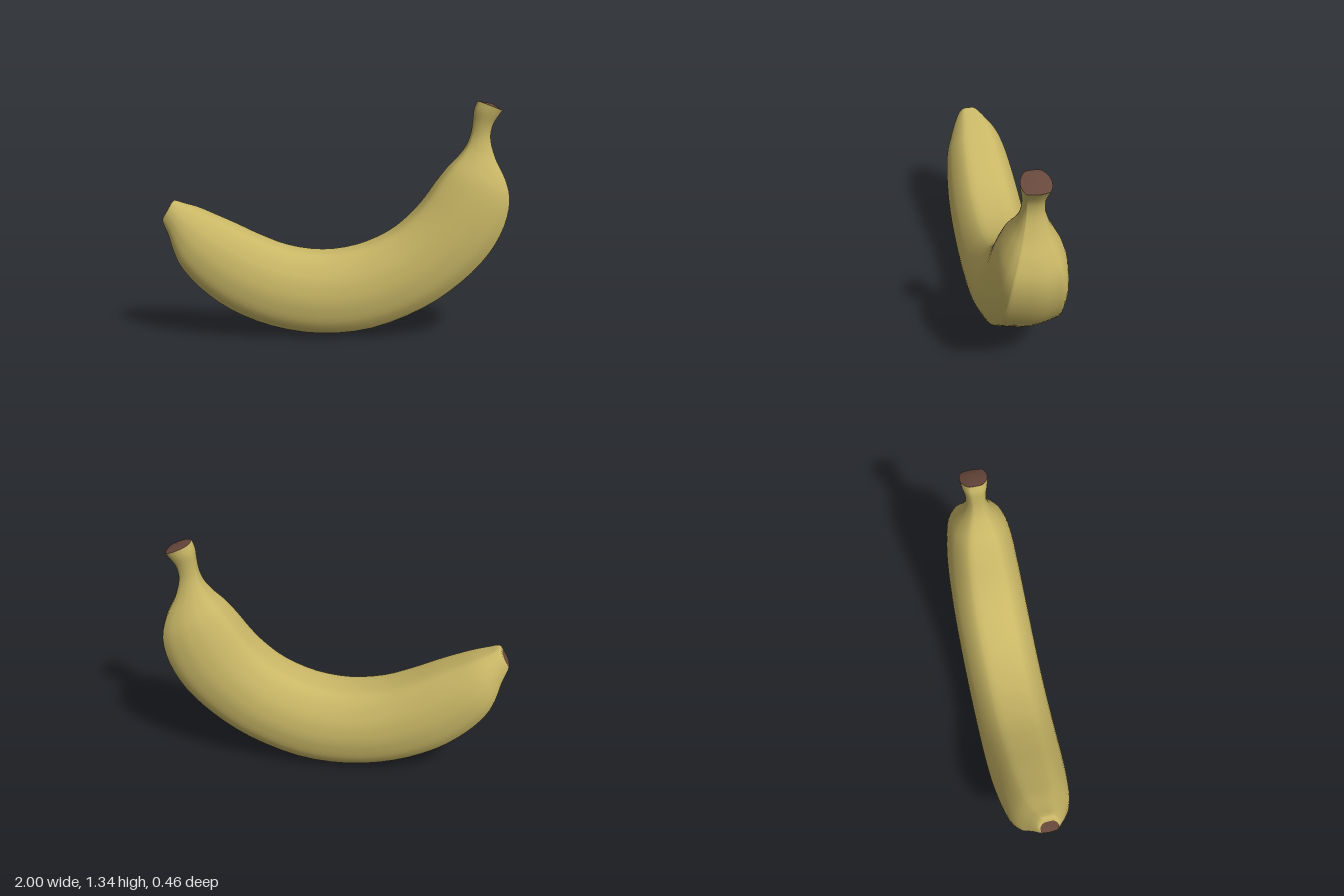
import * as THREE from 'three';

// Stations from blossom tip to stem: inner x, inner y, outer x, outer y, half width, z shift
const stations = [
  [-0.955, 0.75, -1.0, 0.672, 0.052, 0.022],
  [-0.935, 0.78, -0.994, 0.645, 0.068, 0.018],
  [-0.88, 0.762, -0.965, 0.58, 0.108, 0.01],
  [-0.8, 0.735, -0.94, 0.49, 0.15, 0],
  [-0.7, 0.69, -0.895, 0.395, 0.185, 0],
  [-0.58, 0.635, -0.79, 0.275, 0.207, 0],
  [-0.45, 0.572, -0.62, 0.15, 0.222, 0],
  [-0.28, 0.507, -0.38, 0.05, 0.228, 0],
  [-0.08, 0.48, -0.1, 0.004, 0.23, 0],
  [0.12, 0.508, 0.2, 0.032, 0.23, 0],
  [0.3, 0.585, 0.5, 0.15, 0.228, 0],
  [0.42, 0.68, 0.72, 0.3, 0.222, 0],
  [0.5, 0.77, 0.88, 0.465, 0.213, 0],
  [0.57, 0.87, 0.97, 0.63, 0.198, 0],
  [0.64, 0.96, 0.998, 0.78, 0.173, 0],
  [0.7, 1.025, 0.97, 0.9, 0.13, 0],
  [0.745, 1.09, 0.915, 1.01, 0.086, 0],
  [0.77, 1.16, 0.883, 1.12, 0.06, 0],
  [0.78, 1.23, 0.89, 1.2, 0.06, 0],
  [0.786, 1.295, 0.92, 1.255, 0.072, 0],
  [0.805, 1.345, 0.945, 1.29, 0.078, 0],
];

// Ridged section: [across, outer 0 -> inner 1], running outer, +z, inner, -z
const half = [[0.66, 0.05], [0.78, 0.085], [0.93, 0.22], [1, 0.45], [0.92, 0.68], [0.72, 0.86], [0.46, 0.98]];
const section = [
  [-0.08, 0], ...half, [0, 1],
  ...half.slice().reverse().map(([u, v]) => [-u, v]),
];
const sectionCurve = new THREE.CatmullRomCurve3(
  section.map(([u, v]) => new THREE.Vector3(u, v, 0)), true, 'catmullrom', 0.4);

const SIDES = section.length * 3;
const STEPS = (stations.length - 1) * 3;

// Smooth interpolation of all station values at once
const along = (pick) => new THREE.CatmullRomCurve3(
  stations.map((s) => new THREE.Vector3(...pick(s))), false, 'catmullrom', 0.5);
const innerCurve = along((s) => [s[0], s[1], s[5]]);
const outerCurve = along((s) => [s[2], s[3], s[5]]);
const widthCurve = along((s) => [s[4], 0, 0]);

function ring(t) {
  const inner = innerCurve.getPoint(t);
  const outer = outerCurve.getPoint(t);
  const width = widthCurve.getPoint(t).x;
  return Array.from({ length: SIDES }, (_, j) => {
    const p = sectionCurve.getPoint(j / SIDES);
    const q = outer.clone().lerp(inner, p.y);
    q.z += p.x * width;
    return q;
  });
}

function geometryFrom(points, index) {
  const g = new THREE.BufferGeometry().setFromPoints(points);
  g.setIndex(index);
  g.computeVertexNormals();
  return g;
}

// Peel: rings joined into a closed tube
function peelGeometry() {
  const points = [];
  const index = [];
  for (let i = 0; i <= STEPS; i++) points.push(...ring(i / STEPS));
  for (let i = 0; i < STEPS; i++) {
    for (let j = 0; j < SIDES; j++) {
      const k = (j + 1) % SIDES;
      const a = i * SIDES + j, b = a + SIDES, c = i * SIDES + k, d = c + SIDES;
      index.push(a, b, c, b, d, c);
    }
  }
  return geometryFrom(points, index);
}

// Slightly domed cut end
function capGeometry(t, dx, dy) {
  const points = ring(t);
  const centre = points.reduce((s, p) => s.add(p), new THREE.Vector3()).divideScalar(SIDES);
  points.push(centre.add(new THREE.Vector3(dx, dy, 0)));
  const index = [];
  for (let j = 0; j < SIDES; j++) {
    const k = (j + 1) % SIDES;
    index.push(SIDES, ...(t === 0 ? [j, k] : [k, j]));
  }
  return geometryFrom(points, index);
}

export function createModel() {
  const yellow = new THREE.MeshStandardMaterial({ color: 0xc9b766 });
  yellow.name = 'peel yellow';
  const brown = new THREE.MeshStandardMaterial({ color: 0x68483c });
  brown.name = 'dry brown';

  const group = new THREE.Group();
  group.name = 'banana';
  const add = (name, geometry, material) => {
    const mesh = new THREE.Mesh(geometry, material);
    mesh.name = name;
    group.add(mesh);
  };
  add('peel', peelGeometry(), yellow);
  add('blossomTip', capGeometry(0, 0.004, -0.002), brown);
  add('stemEnd', capGeometry(1, 0.006, 0.015), brown);
  return group;
}
